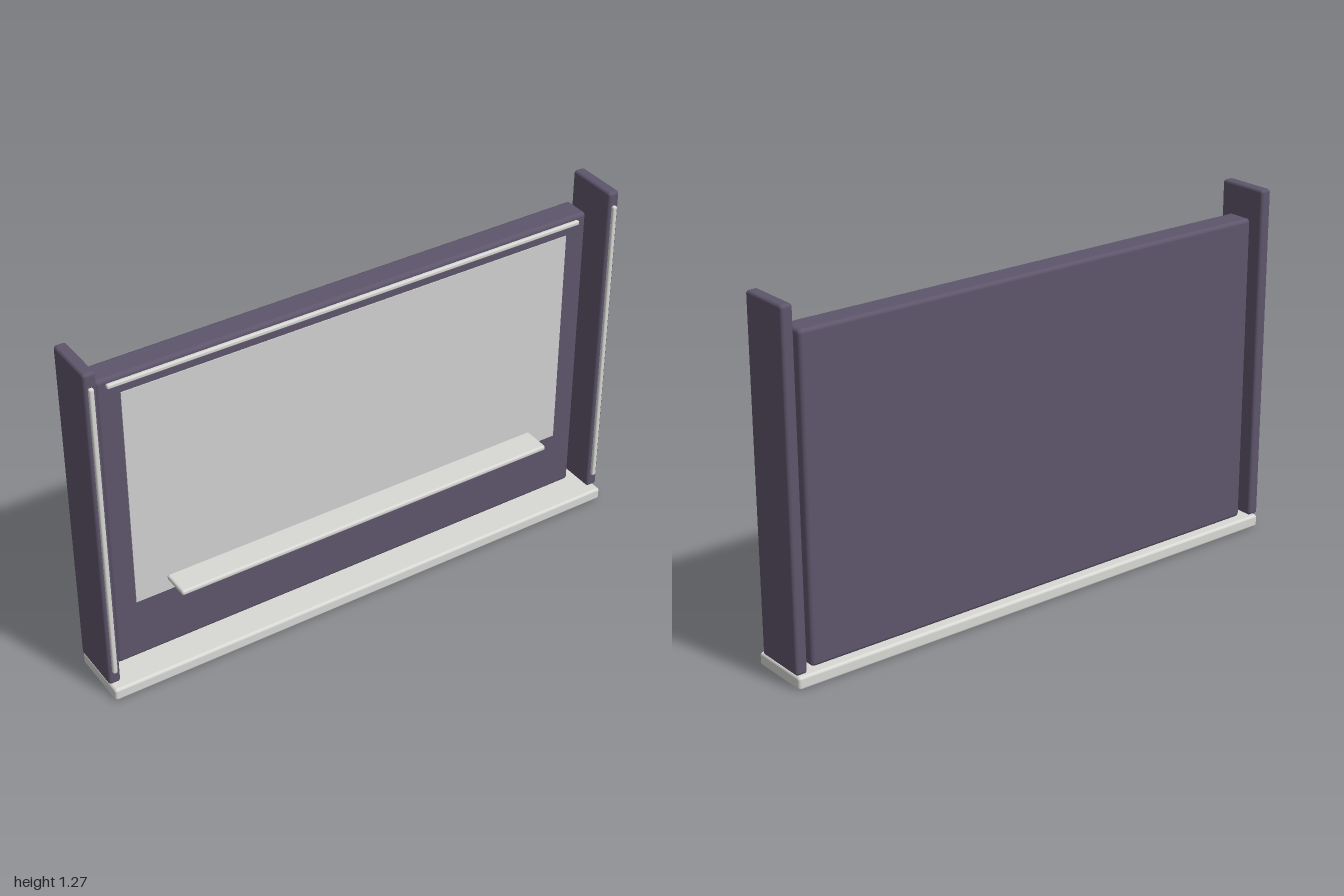
import * as THREE from 'three';
import { RoundedBoxGeometry } from 'three/addons/geometries/RoundedBoxGeometry.js';

const material = (name, color) => {
  const m = new THREE.MeshStandardMaterial({ color });
  m.name = name;
  return m;
};

export function createModel() {
  const model = new THREE.Group();
  model.name = 'displayStand';
  const purple = material('dark purple', 0x5e556b);
  const trim = material('pale trim', 0xd8d8d5);
  const screenGrey = material('screen grey', 0xd0d0d0);

  // Rounded box given by its lower and upper limits on each axis
  const slab = (name, mat, [x0, x1], [y0, y1], [z0, z1], radius) => {
    const geometry = new RoundedBoxGeometry(x1 - x0, y1 - y0, z1 - z0, 4, radius);
    const mesh = new THREE.Mesh(geometry, mat);
    mesh.name = name;
    mesh.position.set((x0 + x1) / 2, (y0 + y1) / 2, (z0 + z1) / 2);
    model.add(mesh);
  };

  // Base and main board
  slab('base', trim, [-0.995, 0.995], [0, 0.046], [-0.115, 0.115], 0.01);
  slab('backBoard', purple, [-0.928, 0.928], [0.05, 1.175], [-0.09, 0.008], 0.014);

  // Screen, a thin plate on the front of the board
  const screen = new THREE.Mesh(new THREE.BoxGeometry(1.69, 0.83, 0.004), screenGrey);
  screen.name = 'screen';
  screen.position.set(0, 0.695, 0.009);
  model.add(screen);

  // Light strip above the screen and shelf below it
  slab('topStrip', trim, [-0.892, 0.892], [1.142, 1.158], [0.004, 0.02], 0.005);
  slab('shelf', trim, [-0.73, 0.73], [0.325, 0.345], [0.01, 0.115], 0.008);

  // Side posts with light strips on their front edges
  for (const [side, s] of [['left', 1], ['right', -1]]) {
    const span = (a, b) => (s > 0 ? [a, b] : [-b, -a]);
    slab(side + 'Post', purple, span(0.957, 1), [0.05, 1.272], [-0.11, 0.086], 0.011);
    slab(side + 'Strip', trim, span(0.97, 0.987), [0.1, 1.222], [0.08, 0.097], 0.006);
  }
  return model;
}
